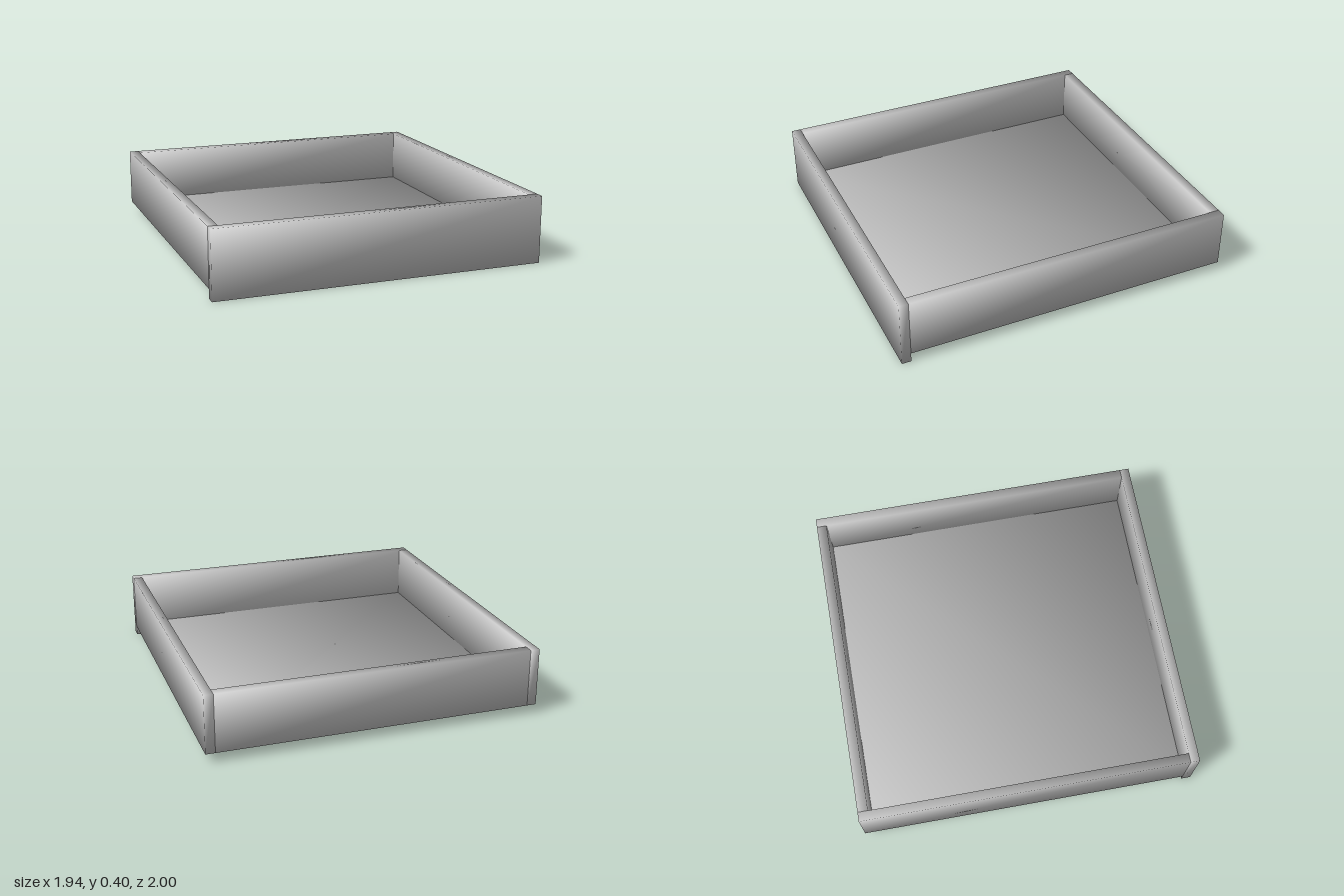
import * as THREE from 'three';

const greyPaint = new THREE.MeshStandardMaterial({ color: 0xc4c4c4 });
greyPaint.name = 'greyPaint';

// Box given by its limits on each axis, with normals shared at its corners for soft shading.
function softBoard(name, [x0, x1], [y0, y1], [z0, z1]) {
  const geometry = new THREE.BoxGeometry(x1 - x0, y1 - y0, z1 - z0);
  const { position, normal } = geometry.attributes;
  const corner = new THREE.Vector3();
  for (let i = 0; i < position.count; i++) {
    corner.fromBufferAttribute(position, i);
    corner.set(Math.sign(corner.x), Math.sign(corner.y), Math.sign(corner.z)).normalize();
    normal.setXYZ(i, corner.x, corner.y, corner.z);
  }
  const mesh = new THREE.Mesh(geometry, greyPaint);
  mesh.name = name;
  mesh.position.set((x0 + x1) / 2, (y0 + y1) / 2, (z0 + z1) / 2);
  return mesh;
}

export function createModel() {
  const drawer = new THREE.Group();
  drawer.name = 'drawer';

  const outer = 0.97, inner = 0.915; // half widths
  const top = 0.395, bottom = 0.055;
  const frontInner = 0.945, backInner = -0.94;

  drawer.add(
    // Front hangs below the tray
    softBoard('frontPanel', [-outer, outer], [0, top], [frontInner, 1]),
    // Side walls run the full depth behind the front
    softBoard('leftWall', [inner, outer], [bottom, top], [-1, frontInner]),
    softBoard('rightWall', [-outer, -inner], [bottom, top], [-1, frontInner]),
    // Back wall sits between the sides
    softBoard('backWall', [-inner, inner], [bottom, top], [-1, backInner]),
    // Floor is slightly recessed from below
    softBoard('floorPanel', [-inner, inner], [0.065, 0.08], [backInner, frontInner])
  );
  return drawer;
}
